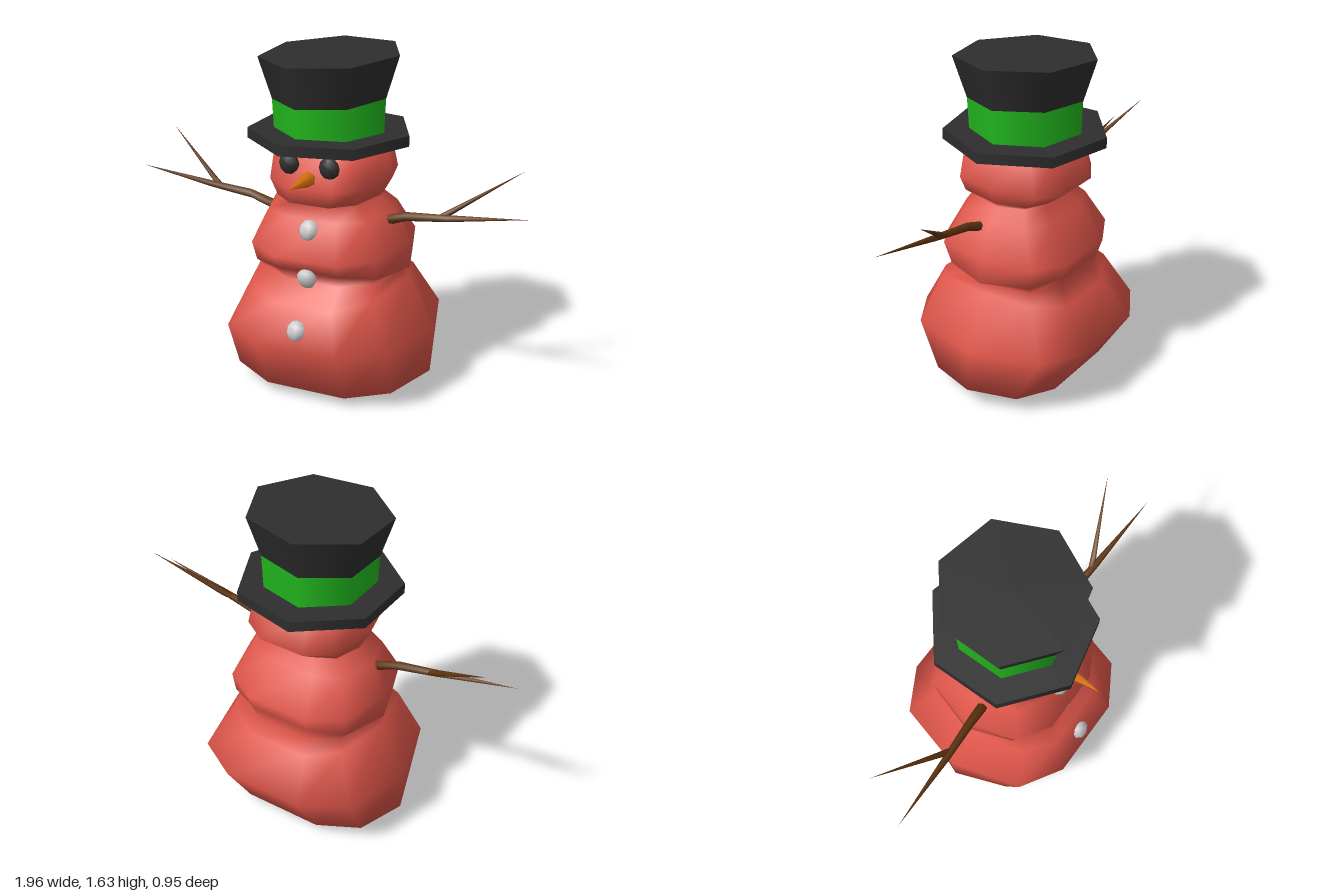
import * as THREE from 'three';

const mat = (color) => new THREE.MeshStandardMaterial({ color });

// Skin a list of closed rings (arrays of Vector3); collapsed rings make the ends.
function loft(rings) {
  const n = rings[0].length;
  const geo = new THREE.BufferGeometry().setFromPoints(rings.flat());
  const index = [];
  for (let i = 0; i < rings.length - 1; i++) {
    for (let j = 0; j < n; j++) {
      const k = (j + 1) % n;
      const a = i * n + j, b = i * n + k, c = b + n, d = a + n;
      index.push(a, b, c, a, c, d);
    }
  }
  geo.setIndex(index);
  geo.computeVertexNormals();
  return geo;
}

// Ten-sided outline of the body, from the front round by the left side
const half = [[0.4, 1], [0.8, 0.73], [1, -0.04], [0.82, -0.75], [0.4, -1]];
const outline = [...half, ...half.map(([x, z]) => [-x, z]).reverse()];

// Body ring: height at front/back, height at the sides, half width, front z, back z
function bodyRing([y, ySide, w, front, back]) {
  const mid = w === 0 ? front : 0;
  return outline.map(([x, z]) => new THREE.Vector3(
    0.015 + x * w,
    THREE.MathUtils.lerp(y, ySide, x * x),
    w === 0 ? mid : z > 0 ? z * front : -z * back));
}

// Tapered stick along +x or -x; points are [x, y, z, radius]
function stick(points, side) {
  return loft(points.map(([x, y, z, r]) => Array.from({ length: 6 }, (_, j) => {
    const t = j / 6 * Math.PI * 2;
    return new THREE.Vector3(side * x, y + r * Math.cos(t), z + side * r * Math.sin(t));
  })));
}

// Seven-sided hat piece; ends may lean with the tilted crown
function hatPiece(rTop, rBottom, yTop, yBottom, tiltTop = 0, tiltBottom = 0) {
  const geo = new THREE.CylinderGeometry(rTop, rBottom, yTop - yBottom, 7, 1, false, Math.PI / 2);
  geo.translate(0, (yTop + yBottom) / 2, 0);
  const p = geo.attributes.position;
  for (let i = 0; i < p.count; i++) {
    const tilt = p.getY(i) > (yTop + yBottom) / 2 ? tiltTop : tiltBottom;
    p.setY(i, p.getY(i) + tilt * (p.getX(i) - p.getZ(i)));
  }
  return geo;
}

export function createModel() {
  const model = new THREE.Group();
  const add = (name, geo, material, parent = model) => {
    const mesh = new THREE.Mesh(geo, material);
    mesh.name = name;
    parent.add(mesh);
    return mesh;
  };
  const red = mat(0xe0564a), black = mat(0x2e2e2e), green = mat(0x22b81e);
  const orange = mat(0xd9700c), brown = mat(0x5e330f), grey = mat(0xcccccc);

  // Base, chest and head as one skin
  add('body', loft([
    [0, 0, 0, 0.04, 0],
    [0.04, 0.10, 0.50, 0.33, -0.31],
    [0.31, 0.32, 0.51, 0.455, -0.478],
    [0.48, 0.57, 0.38, 0.37, -0.345],
    [0.56, 0.59, 0.33, 0.23, -0.295],
    [0.64, 0.62, 0.385, 0.285, -0.315],
    [0.705, 0.74, 0.39, 0.34, -0.34],
    [0.88, 0.89, 0.31, 0.25, -0.235],
    [0.95, 0.95, 0.235, 0.205, -0.175],
    [0.96, 0.97, 0.245, 0.275, -0.195],
    [1.03, 1.05, 0.29, 0.28, -0.29],
    [1.22, 1.22, 0.265, 0.25, -0.23],
    [1.23, 1.23, 0, 0, 0],
  ].map(bodyRing)), red);

  // Top hat
  const hat = new THREE.Group();
  hat.name = 'hat';
  model.add(hat);
  add('hatBrim', hatPiece(0.388, 0.388, 1.26, 1.21), black, hat);
  add('hatBand', hatPiece(0.272, 0.265, 1.41, 1.25, 0.04, 0), green, hat);
  add('hatCrown', hatPiece(0.335, 0.272, 1.61, 1.41, 0.04, 0.04), black, hat);

  // Eyes
  for (const side of [1, -1]) {
    const eye = add(side > 0 ? 'leftEye' : 'rightEye', new THREE.SphereGeometry(0.051, 8, 6), black);
    eye.position.set(0.01 + side * 0.099, 1.145, 0.262);
    eye.scale.z = 0.6;
  }

  // Nose
  const nose = add('nose', new THREE.ConeGeometry(0.04, 0.22, 6).rotateX(Math.PI / 2 - 0.06), orange);
  nose.position.set(0.01, 1.09, 0.365);

  // Buttons, each leaning with the surface: height, z, lean
  [[0.84, 0.27, -0.5], [0.61, 0.295, 0.3], [0.395, 0.412, -0.45]].forEach(([y, z, lean], i) => {
    const button = add('button' + (i + 1), new THREE.SphereGeometry(0.05, 7, 5), grey);
    button.position.set(0.01, y, z);
    button.rotation.x = lean;
    button.scale.z = 0.7;
  });

  // Twig arms, each with one forked branch
  for (const side of [1, -1]) {
    const arm = new THREE.Group();
    arm.name = side > 0 ? 'leftArm' : 'rightArm';
    model.add(arm);
    add('armStem', stick([
      [0.28, 0.85, 0.04, 0], [0.28, 0.85, 0.04, 0.026], [0.40, 0.892, 0.05, 0.022],
      [0.60, 0.918, 0.068, 0.017], [0.98, 0.977, 0.095, 0],
    ], side), brown, arm);
    add('armBranch', stick([
      [0.54, 0.905, 0.062, 0.008], [0.60, 0.935, 0.045, 0.017], [0.91, 1.135, -0.102, 0],
    ], side), brown, arm);
  }
  return model;
}
